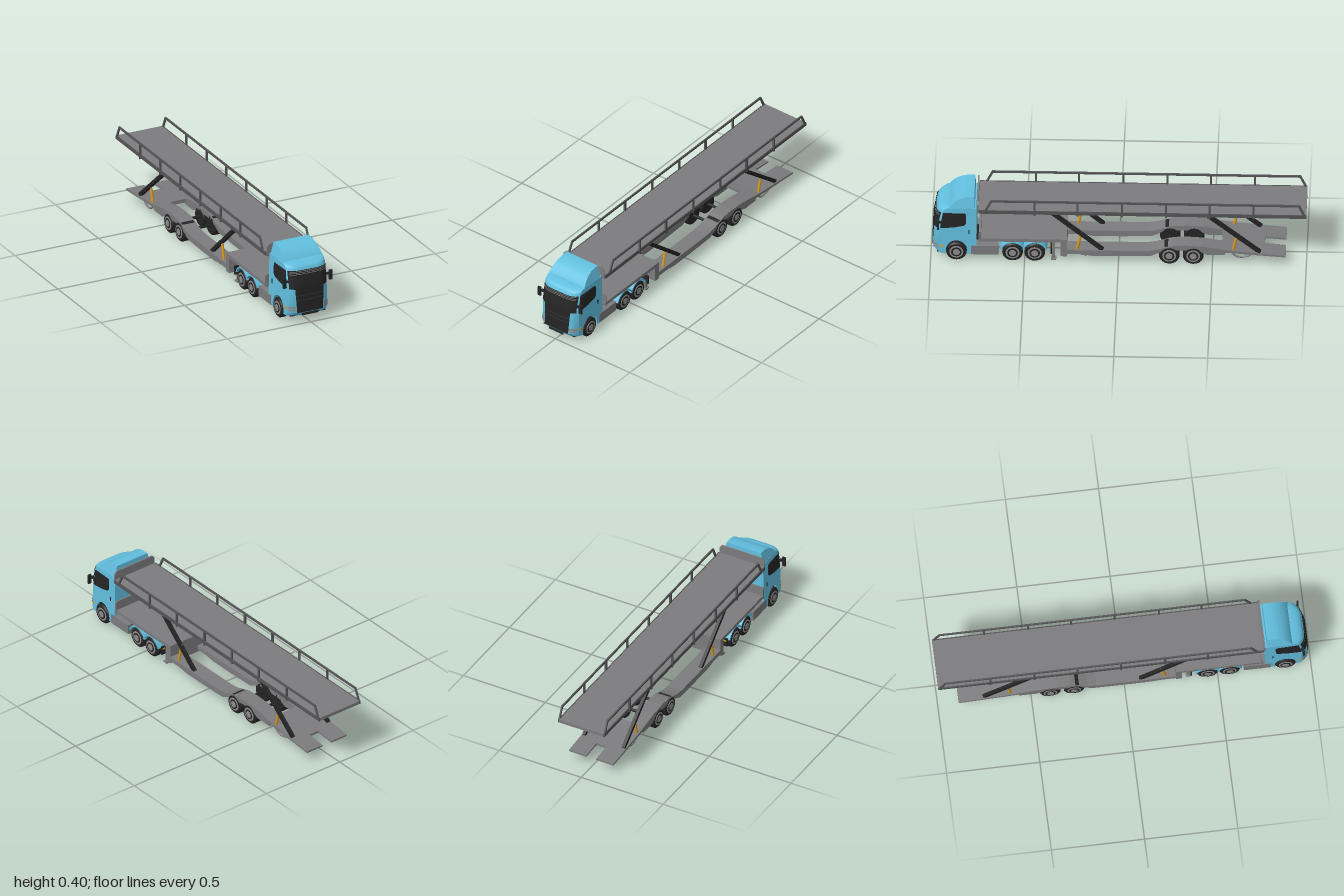
import * as THREE from 'three';
import { toCreasedNormals } from 'three/addons/utils/BufferGeometryUtils.js';

const mat = (name, color, side = THREE.FrontSide) => {
  const m = new THREE.MeshStandardMaterial({ color, side });
  m.name = name;
  return m;
};

export function createModel() {
  const root = new THREE.Group();
  const blue = mat('cab blue', 0x62bfdf);
  const grey = mat('deck grey', 0x7c7c7e);
  const rail = mat('rail grey', 0x555557);
  const black = mat('black', 0x242424);
  const glass = mat('panel black', 0x242424, THREE.DoubleSide);
  const trim = mat('trim grey', 0x8c8c8c, THREE.DoubleSide);
  const amber = mat('amber', 0xd9981c);

  const add = (name, geo, m) => {
    const mesh = new THREE.Mesh(geo, m);
    mesh.name = name;
    root.add(mesh);
    return mesh;
  };
  // box given by its limits
  const box = (name, m, x0, x1, y0, y1, z0, z1) => {
    const b = add(name, new THREE.BoxGeometry(x1 - x0, y1 - y0, z1 - z0), m);
    b.position.set((x0 + x1) / 2, (y0 + y1) / 2, (z0 + z1) / 2);
    return b;
  };
  const boxes = (name, m, x0, x1, ...r) => {
    box(name, m, x0, x1, ...r);
    box(name, m, -x1, -x0, ...r);
  };
  const poly = (pts) => new THREE.Shape(pts.map((p) => new THREE.Vector2(p[0], p[1])));
  // side outline (z, y) extruded across x
  const across = (shape, x0, x1, steps = 1) =>
    new THREE.ExtrudeGeometry(shape, { depth: x1 - x0, steps, bevelEnabled: false, curveSegments: 16 })
      .rotateY(-Math.PI / 2).translate(x1, 0, 0);
  // square or round bar between two points
  const bar = (name, m, a, b, w, d = w, round = false) => {
    const p = new THREE.Vector3(...a), q = new THREE.Vector3(...b), len = p.distanceTo(q);
    const g = round ? new THREE.CylinderGeometry(w / 2, w / 2, len, 10).rotateX(Math.PI / 2)
      : new THREE.BoxGeometry(w, d, len);
    const mesh = add(name, g, m);
    mesh.position.copy(p).add(q).multiplyScalar(0.5);
    mesh.lookAt(q);
  };

  // cab rounding: narrows forward and upward, front corners swept back
  const warp = (geo) => {
    const p = geo.attributes.position;
    for (let i = 0; i < p.count; i++) {
      const x = p.getX(i), y = p.getY(i), z = p.getZ(i), t = Math.max(0, (z - 0.757) / 0.233);
      const s = Math.abs(x) / 0.13;
      p.setXYZ(i, x * (1 - 0.06 * t) * (1 - 0.05 * Math.max(0, y - 0.04) / 0.29), y, z - 0.035 * t * Math.pow(s, 5));
    }
    return toCreasedNormals(geo, 0.6);
  };

  // cab shell with wheel arch
  const cab = new THREE.Shape();
  cab.moveTo(0.757, 0.05);
  cab.lineTo(0.814, 0.04);
  cab.absarc(0.88, 0.056, 0.068, Math.PI + 0.237, -0.237, true);
  cab.lineTo(0.975, 0.04);
  cab.lineTo(0.99, 0.06);
  cab.lineTo(0.985, 0.21);
  cab.lineTo(0.968, 0.3);
  cab.quadraticCurveTo(0.96, 0.328, 0.9, 0.332);
  cab.lineTo(0.757, 0.33);
  add('cab', warp(across(cab, -0.13, 0.13, 20)), blue);

  // roof spoiler, narrowing to the top
  const spoiler = new THREE.Shape();
  spoiler.moveTo(0.765, 0.325);
  spoiler.lineTo(0.905, 0.325);
  spoiler.quadraticCurveTo(0.87, 0.385, 0.8, 0.394);
  spoiler.lineTo(0.768, 0.395);
  const sp = across(spoiler, -0.121, 0.121, 8), pos = sp.attributes.position;
  for (let i = 0; i < pos.count; i++) {
    pos.setX(i, pos.getX(i) * (1 - 2 * Math.max(0, pos.getY(i) - 0.325)));
  }
  add('roofSpoiler', toCreasedNormals(sp, 0.5), blue);

  // curved plates lying on the cab front
  const faceZ = (y) => y < 0.21 ? 0.99 - (y - 0.06) / 30 : 0.985 - (y - 0.21) * 0.19;
  const facePlate = (name, m, x0, x1, y0, y1, lift, taper = 0) => {
    const g = new THREE.PlaneGeometry(x1 - x0, y1 - y0, 20, 7).translate((x0 + x1) / 2, (y0 + y1) / 2, 0);
    const p = g.attributes.position;
    for (let i = 0; i < p.count; i++) {
      const y = p.getY(i);
      p.setX(i, p.getX(i) * (1 - taper * (y1 - y) / (y1 - y0)));
      p.setZ(i, faceZ(y) + lift);
    }
    add(name, warp(g), m);
  };
  facePlate('windscreen', glass, -0.126, 0.126, 0.196, 0.297, 0.004, 0.03);
  facePlate('grille', glass, -0.093, 0.093, 0.062, 0.196, 0.004, 0.12);
  for (const y of [0.275, 0.283, 0.291]) facePlate('visorSlat', trim, -0.118, 0.118, y, y + 0.003, 0.006);
  for (const y of [0.132, 0.158]) facePlate('grilleSeam', rail, -0.088, 0.088, y, y + 0.0015, 0.006);
  facePlate('bumperIntake', glass, -0.052, 0.052, 0.044, 0.058, 0.003);
  for (const s of [-1, 1]) {
    const [a, b] = s > 0 ? [0.086, 0.126] : [-0.126, -0.086];
    facePlate('headlight', trim, a, b, 0.071, 0.081, 0.004);
    facePlate('headlight', trim, a, b, 0.085, 0.096, 0.004);
    // side window and turn signal
    const win = poly([[0.985, 0.2], [0.967, 0.296], [0.83, 0.298], [0.822, 0.29], [0.822, 0.235], [0.835, 0.222], [0.9, 0.208]]);
    add('sideWindow', warp(across(win, s > 0 ? 0.129 : -0.133, s > 0 ? 0.133 : -0.129)), black);
    add('turnSignal', warp(across(poly([[0.972, 0.077], [0.986, 0.077], [0.986, 0.094], [0.972, 0.094]]),
      s > 0 ? 0.128 : -0.133, s > 0 ? 0.133 : -0.128)), amber);
    add('doorHandle', warp(across(poly([[0.8, 0.17], [0.806, 0.17], [0.806, 0.195], [0.8, 0.195]]),
      s > 0 ? 0.129 : -0.133, s > 0 ? 0.133 : -0.129)), black);
  }
  boxes('mirror', black, 0.128, 0.147, 0.205, 0.259, 0.955, 0.965);
  boxes('mirrorArm', black, 0.112, 0.13, 0.235, 0.243, 0.945, 0.963);
  box('cabFloor', black, -0.085, 0.085, 0.045, 0.125, 0.77, 0.945);
  box('cabUnderside', black, -0.105, 0.105, 0.037, 0.041, 0.945, 0.968);

  // wheels
  const tyreProfile = (w) => [[0.02, -w / 2], [0.048, -w / 2], [0.055, -w / 2 + 0.007], [0.055, w / 2 - 0.007],
    [0.048, w / 2], [0.02, w / 2]].map((p) => new THREE.Vector2(...p));
  const wheel = (name, z, x0, x1, dual) => {
    for (const s of [-1, 1]) {
      const g = new THREE.Group();
      g.name = name;
      const part = (n, geo, m, x) => {
        const mesh = new THREE.Mesh(geo.rotateZ(-Math.PI / 2), m);
        mesh.name = n;
        mesh.position.x = x;
        g.add(mesh);
      };
      const w = dual ? (x1 - x0) * 0.44 : x1 - x0;
      const xs = dual ? [x0 + w / 2, x1 - w / 2] : [(x0 + x1) / 2];
      for (const x of xs) part('tyre', toCreasedNormals(new THREE.LatheGeometry(tyreProfile(w), 28), 0.5), black, x);
      const disc = (n, r, m, x, d = 0.006) => part(n, new THREE.CylinderGeometry(r, r, d, 20), m, x);
      disc('rim', 0.037, trim, x1 - 0.001);
      disc('rimRecess', 0.028, black, x1 + 0.0005);
      disc('hub', 0.019, trim, x1 + 0.002);
      disc('innerDrum', 0.03, black, (x0 + x1) / 2, x1 - x0 - 0.004);
      g.position.set(0, 0.0555, z);
      if (s < 0) g.rotation.y = Math.PI;
      root.add(g);
    }
    bar('axle', black, [-x0 - 0.005, 0.056, z], [x0 + 0.005, 0.056, z], 0.016, 0.016, true);
  };
  wheel('frontWheel', 0.863, 0.09, 0.13, false);
  for (const z of [0.564, 0.446]) wheel('driveWheel', z, 0.047, 0.13, true);
  for (const z of [-0.27, -0.398]) wheel('trailerWheel', z, 0.05, 0.136, false);

  // truck chassis, tanks and fenders
  boxes('chassisRail', black, 0.03, 0.045, 0.07, 0.115, 0.34, 0.8);
  for (const z of [0.38, 0.505, 0.63, 0.74]) box('chassisCross', black, -0.03, 0.03, 0.08, 0.105, z - 0.012, z + 0.012);
  boxes('sideTank', grey, 0.07, 0.13, 0.04, 0.095, 0.64, 0.785);
  for (const z of [0.564, 0.446]) {
    const f = new THREE.Shape();
    f.absarc(z, 0.0555, 0.069, 0.3, Math.PI - 0.3, false);
    f.absarc(z, 0.0555, 0.062, Math.PI - 0.3, 0.3, true);
    for (const x of [0.045, -0.132]) add('fender', toCreasedNormals(across(f, x, x + 0.087), 0.5), blue);
  }
  boxes('mudflap', black, 0.05, 0.13, 0.05, 0.1, 0.355, 0.362);
  boxes('tailLight', amber, 0.11, 0.125, 0.082, 0.09, 0.352, 0.356);
  boxes('landingLeg', grey, 0.09, 0.106, 0.008, 0.13, 0.338, 0.354);
  boxes('landingFoot', grey, 0.082, 0.114, 0, 0.008, 0.332, 0.36);

  // front lower deck, headboard and gooseneck
  box('frontDeck', grey, -0.135, 0.135, 0.128, 0.147, 0.28, 0.745);
  add('lowerHeadboard', new THREE.ExtrudeGeometry(poly([[-0.138, 0.13], [0.138, 0.13], [0.138, 0.192],
    [0.13, 0.2], [-0.13, 0.2], [-0.138, 0.192]]), { depth: 0.008, bevelEnabled: false }).translate(0, 0, 0.733), grey);
  box('gooseneck', grey, -0.135, 0.135, 0.04, 0.147, 0.275, 0.308);

  // lower side beams, stepping over the wheels and sloping to the rear ramp
  const beam = poly([[0.28, 0.08], [-0.15, 0.082], [-0.2, 0.09], [-0.29, 0.118], [-0.36, 0.122], [-0.45, 0.117],
    [-0.6, 0.093], [-0.89, 0.065], [-0.89, 0.055], [-0.57, 0.08], [-0.565, 0.065], [-0.47, 0.065], [-0.42, 0.09],
    [-0.25, 0.09], [-0.17, 0.05], [0, 0.046], [0.14, 0.046], [0.2, 0.055], [0.28, 0.055]]);
  const plate = poly([[-0.55, 0.1], [-0.6, 0.092], [-0.78, 0.075], [-0.78, 0.063], [-0.55, 0.08]]);
  const wing = poly([[-0.77, 0.076], [-0.89, 0.064], [-0.89, 0.055], [-0.77, 0.064]]);
  for (const x of [0.05, -0.135]) add('sideBeam', across(beam, x, x + 0.085), grey);
  for (const x of [0.03, -0.052]) add('rampWing', across(wing, x, x + 0.022), grey);
  add('rearPlate', across(plate, -0.052, 0.052), grey);

  // upper deck and headboard
  box('upperDeck', grey, -0.135, 0.135, 0.313, 0.331, -1, 0.752);
  add('upperHeadboard', new THREE.ExtrudeGeometry(poly([[-0.135, 0.31], [0.135, 0.31], [0.135, 0.365],
    [0.12, 0.381], [-0.12, 0.381], [-0.135, 0.365]]), { depth: 0.008, bevelEnabled: false }).translate(0, 0, 0.746), grey);

  for (const s of [-1, 1]) {
    // guard rails
    const x = s * 0.138;
    bar('topRail', rail, [x, 0.392, -0.964], [x, 0.392, 0.68], 0.008, 0.011);
    bar('frontRailEnd', rail, [x, 0.32, 0.712], [x, 0.394, 0.676], 0.008, 0.011);
    bar('rearRailEnd', rail, [x, 0.32, -0.994], [x, 0.394, -0.96], 0.008, 0.011);
    bar('deckEdge', rail, [x, 0.322, -1], [x, 0.322, 0.745], 0.006, 0.02);
    for (const z of [0.446, 0.217, -0.02, -0.254, -0.484, -0.72]) box('railPost', rail, x - 0.005, x + 0.005, 0.304, 0.392, z - 0.005, z + 0.005);
    // lifting arms, cylinders and hoops
    for (const [z, d] of [[0.355, 0.27], [-0.473, 0.28]]) {
      const ax = s * 0.12, cz = z - 0.15;
      bar('liftArm', black, [ax, 0.313, z], [ax, 0.08, z - d], 0.018, 0.02);
      bar('liftCylinder', amber, [ax, 0.08, cz + 0.015], [ax, 0.165, cz - 0.003], 0.015, 0.015, true);
      bar('cylinderRod', trim, [ax, 0.16, cz - 0.002], [ax, 0.19, cz - 0.009], 0.007, 0.007, true);
      const hoop = new THREE.CatmullRomCurve3([[0.02, 0.075], [0, 0.052], [-0.03, 0.044], [-0.07, 0.055], [-0.09, 0.072]]
        .map(([dz, y]) => new THREE.Vector3(ax, y, cz + dz)));
      add('hoop', new THREE.TubeGeometry(hoop, 16, 0.005, 8), grey);
    }
  }
  for (const z of [0.35, -0.478]) box('liftCrossBar', black, -0.125, 0.125, 0.3, 0.314, z - 0.015, z + 0.015);
  return root;
}
